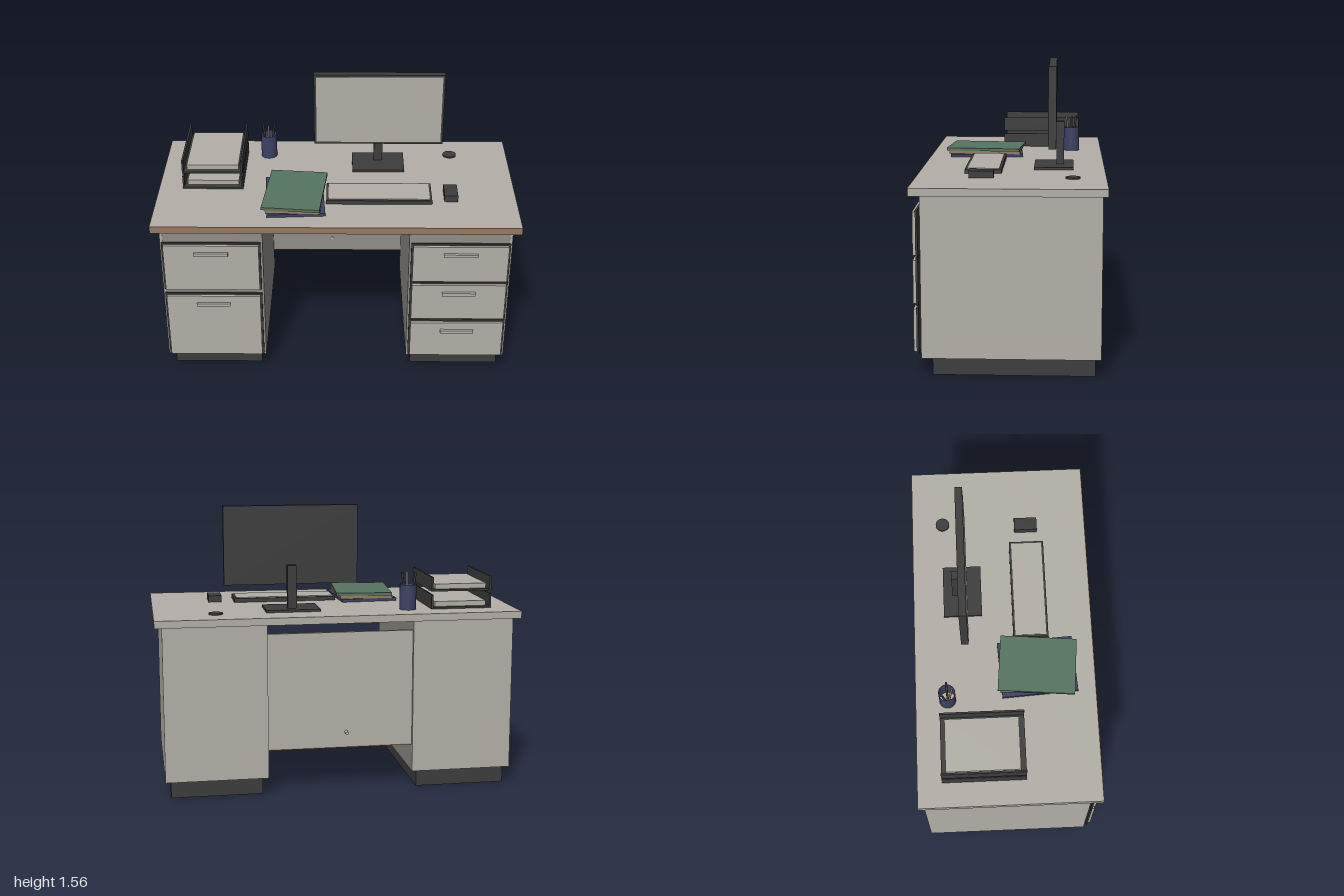
import * as THREE from 'three';

const mat = (name, color, side = THREE.FrontSide) => {
  const m = new THREE.MeshStandardMaterial({ color, side });
  m.name = name;
  return m;
};

export function createModel() {
  const root = new THREE.Group();
  root.name = 'officeDesk';
  const light = mat('lightLaminate', 0xb4b0a8);
  const mid = mat('shadeGrey', 0x908e89);
  const dark = mat('charcoal', 0x3d3d3d);
  const wood = mat('woodEdge', 0x987a60);
  const green = mat('greenCover', 0x557560);
  const navy = mat('navy', 0x3d4264, THREE.DoubleSide);

  // Box given by its min and max on each axis
  const box = (name, m, x0, x1, y0, y1, z0, z1, parent = root) => {
    const mesh = new THREE.Mesh(new THREE.BoxGeometry(x1 - x0, y1 - y0, z1 - z0), m);
    mesh.position.set((x0 + x1) / 2, (y0 + y1) / 2, (z0 + z1) / 2);
    mesh.name = name;
    parent.add(mesh);
    return mesh;
  };
  const cylinder = (name, m, r, h, x, y, z, open = false, sides = 24) => {
    const mesh = new THREE.Mesh(new THREE.CylinderGeometry(r, r, h, sides, 1, open), m);
    mesh.position.set(x, y, z);
    mesh.name = name;
    root.add(mesh);
    return mesh;
  };
  const TOP = 0.985;

  // Desktop with a wooden front edge
  box('desktop', light, -1, 1, 0.945, TOP, -0.5, 0.495);
  box('desktopFrontEdge', wood, -1, 1, 0.945, TOP, 0.495, 0.5);

  // Pedestals: carcass, outer side, back and hollow plinth
  for (const s of [-1, 1]) {
    const ped = new THREE.Group();
    ped.name = s < 0 ? 'rightPedestal' : 'leftPedestal';
    root.add(ped);
    const part = (name, m, a, b, y0, y1, z0, z1) =>
      box(name, m, Math.min(s * a, s * b), Math.max(s * a, s * b), y0, y1, z0, z1, ped);
    part('carcass', mid, 0.405, 0.945, 0.097, 0.945, -0.46, 0.435);
    part('outerSide', light, 0.945, 0.96, 0.095, 0.945, -0.475, 0.445);
    part('innerSide', mid, 0.4, 0.405, 0.095, 0.945, -0.46, 0.445);
    part('backPanel', light, 0.4, 0.945, 0.095, 0.945, -0.475, -0.46);
    part('frontPanel', mid, 0.405, 0.945, 0.112, 0.945, 0.435, 0.443);
    part('frontBottomRail', light, 0.405, 0.945, 0.095, 0.112, 0.435, 0.445);
    part('plinthFront', dark, 0.43, 0.93, 0, 0.095, 0.375, 0.39);
    part('plinthBack', dark, 0.43, 0.93, 0, 0.095, -0.445, -0.43);
    part('plinthOuter', dark, 0.915, 0.93, 0, 0.095, -0.43, 0.375);
    part('plinthInner', dark, 0.43, 0.445, 0, 0.095, -0.43, 0.375);
    part('plinthCeiling', dark, 0.445, 0.915, 0.08, 0.095, -0.43, 0.375);
    for (const x of [0.465, 0.895])
      for (const z of [-0.41, 0.355])
        cylinder('levellingFoot', dark, 0.012, 0.08, s * x, 0.04, z, false, 12);
  }

  // Drawers: dark seal, face and bar handle
  const drawer = (cx, y0, y1, handleY) => {
    const g = new THREE.Group();
    g.name = 'drawer';
    root.add(g);
    box('drawerSeal', dark, cx - 0.27, cx + 0.27, y0, y1, 0.458, 0.469, g);
    box('drawerFace', light, cx - 0.26, cx + 0.26, y0 + 0.01, y1 - 0.01, 0.469, 0.485, g);
    box('drawerHandle', light, cx - 0.093, cx + 0.093, handleY - 0.009, handleY + 0.009, 0.485, 0.5, g);
  };
  drawer(-0.68, 0.56, 0.865, 0.805);
  drawer(-0.68, 0.115, 0.535, 0.475);
  drawer(0.68, 0.62, 0.865, 0.805);
  drawer(0.68, 0.37, 0.615, 0.552);
  drawer(0.68, 0.115, 0.36, 0.297);

  // Modesty panel between the pedestals, with edge strip and lock
  box('modestyPanelBack', light, -0.4, 0.4, 0.25, 0.89, -0.455, -0.445);
  box('modestyPanelFront', mid, -0.4, 0.4, 0.25, 0.89, -0.445, -0.435);
  box('modestyEdge', wood, -0.4, 0.4, 0.244, 0.25, -0.455, -0.435);
  cylinder('lockKnob', light, 0.009, 0.062, -0.03, 0.333, -0.462, false, 16).rotation.x = Math.PI / 2;

  // Monitor
  box('monitorBody', dark, -0.13, 0.61, 1.128, 1.56, -0.236, -0.195);
  box('monitorScreen', light, -0.117, 0.597, 1.141, 1.547, -0.195, -0.193);
  box('monitorPost', dark, 0.215, 0.265, 0.997, 1.235, -0.278, -0.236);
  box('monitorBase', dark, 0.09, 0.39, TOP, 0.998, -0.33, -0.115);

  // Two stacked paper trays
  for (const y of [0.987, 1.085]) {
    box('trayFloor', dark, -0.865, -0.525, y, y + 0.01, -0.365, 0.09);
    box('traySide', dark, -0.865, -0.855, y, y + 0.08, -0.365, 0.09);
    box('traySide', dark, -0.535, -0.525, y, y + 0.08, -0.365, 0.09);
    box('paperStack', light, -0.84, -0.55, y + 0.01, y + 0.038, -0.34, 0.06);
  }

  // Pen cup and pens
  cylinder('penCup', navy, 0.046, 0.14, -0.4, 1.055, -0.323, true);
  const pens = [[-0.032, -0.022, dark], [0, 0.027, wood], [0.03, 0, dark]];
  for (const [dx, dz, m] of pens) {
    const from = new THREE.Vector3(-0.4 + dx * 0.3, 0.99, -0.323 + dz * 0.3);
    const to = new THREE.Vector3(-0.4 + dx * 1.15, 1.19, -0.323 + dz * 1.15);
    const mid3 = from.clone().lerp(to, 0.5);
    const pen = cylinder('pen', m, 0.006, from.distanceTo(to), mid3.x, mid3.y, mid3.z, false, 10);
    pen.quaternion.setFromUnitVectors(new THREE.Vector3(0, 1, 0), to.sub(from).normalize());
  }

  // Stack of folders, each turned a little
  const folders = [
    [navy, 0.985, 1.002, 0.32, 0.42, 0.06],
    [wood, 1.002, 1.02, 0.3, 0.41, -0.03],
    [green, 1.02, 1.036, 0.32, 0.425, -0.09],
  ];
  for (const [m, y0, y1, w, d, turn] of folders) {
    const folder = box('folder', m, -0.23 - w / 2, -0.23 + w / 2, y0, y1, 0.18 - d / 2, 0.18 + d / 2);
    folder.rotation.y = turn;
  }

  // Keyboard, mouse and cable grommet
  box('keyboardBody', dark, -0.055, 0.53, TOP, 1.008, 0.055, 0.252);
  box('keyboardTop', light, -0.043, 0.518, 1.008, 1.012, 0.067, 0.24);
  box('mouse', dark, 0.6, 0.675, TOP, 1.022, 0.09, 0.22);
  cylinder('cableGrommet', dark, 0.039, 0.008, 0.665, 0.989, -0.325);

  return root;
}
